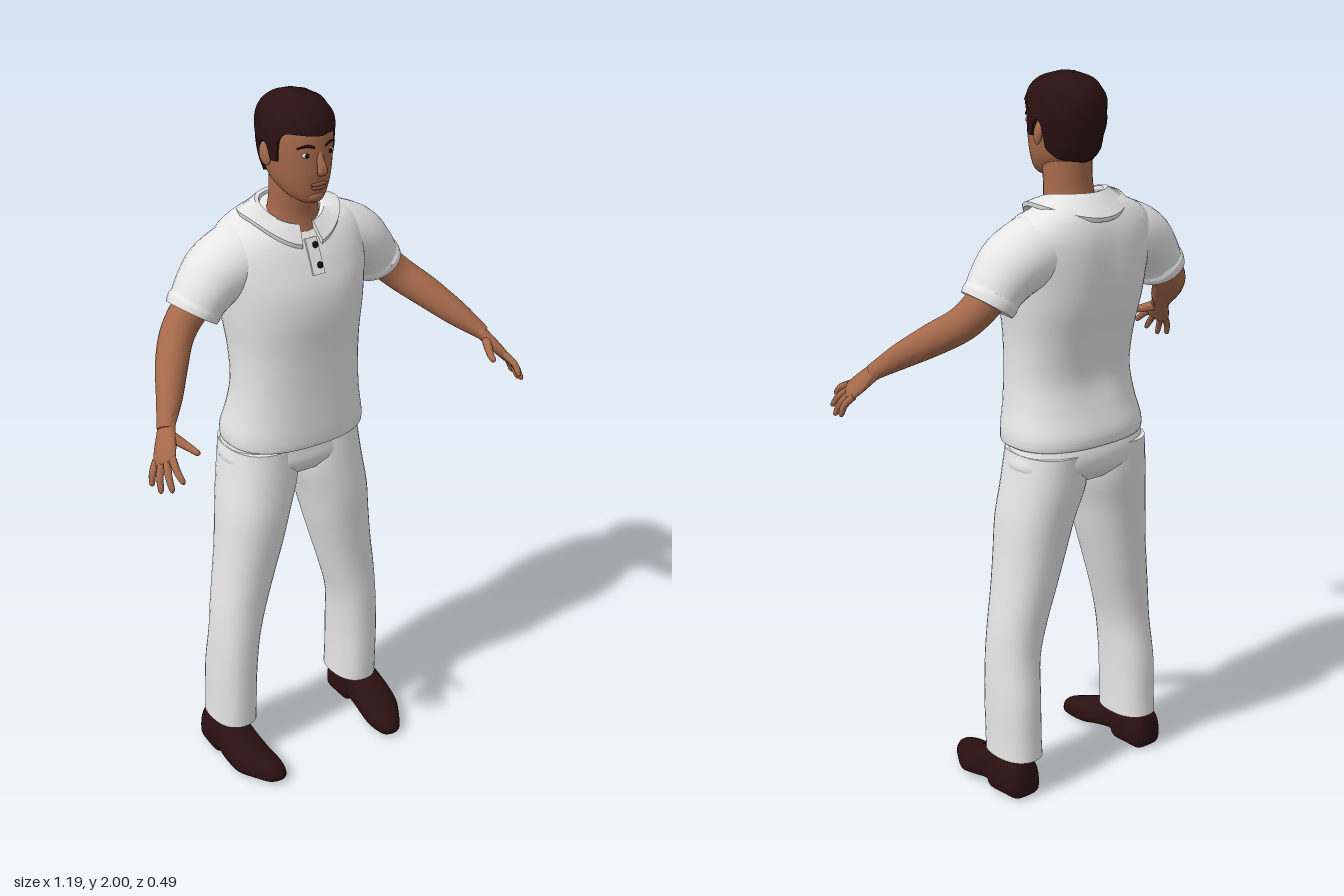
import * as THREE from 'three';
import { toCreasedNormals } from 'three/addons/utils/BufferGeometryUtils.js';

const V = (x, y, z) => new THREE.Vector3(x, y, z);
const mat = (name, color) => Object.assign(new THREE.MeshStandardMaterial({ color }), { name });

// Catmull-Rom smoothing of a table of section rows
function smooth(rows, n = 4) {
  const out = [], last = rows.length - 1;
  for (let i = 0; i < last; i++) {
    const [a, b, c, d] = [i - 1, i, i + 1, i + 2].map(k => rows[Math.min(last, Math.max(0, k))]);
    for (let j = 0; j < n; j++) {
      const t = j / n;
      out.push(b.map((v, k) => {
        const cubic = 3 * (v - c[k]) + d[k] - a[k];
        const square = 2 * a[k] - 5 * v + 4 * c[k] - d[k];
        return v + 0.5 * t * (c[k] - a[k] + t * (square + t * cubic));
      }));
    }
  }
  out.push(rows[last].slice());
  return out;
}

// Skin over closed rings of points, capped at both ends and always facing outwards
function loft(rings, crease = 1) {
  const n = rings[0].length, pts = rings.flat(), idx = [];
  for (let i = 0; i < rings.length - 1; i++) for (let j = 0; j < n; j++) {
    const a = i * n + j, b = i * n + (j + 1) % n;
    idx.push(a, b, a + n, b, b + n, a + n);
  }
  [0, rings.length - 1].forEach((r, end) => {
    const c = V(0, 0, 0);
    rings[r].forEach(p => c.addScaledVector(p, 1 / n));
    pts.push(c);
    for (let j = 0; j < n; j++) {
      const a = r * n + j, b = r * n + (j + 1) % n;
      idx.push(...(end ? [a, b, pts.length - 1] : [b, a, pts.length - 1]));
    }
  });
  let volume = 0;
  const cr = V(0, 0, 0);
  for (let i = 0; i < idx.length; i += 3) volume += pts[idx[i]].dot(cr.crossVectors(pts[idx[i + 1]], pts[idx[i + 2]]));
  if (volume < 0) idx.reverse();
  const g = new THREE.BufferGeometry().setFromPoints(pts);
  g.setIndex(idx);
  return toCreasedNormals(g, crease);
}

const sp = (v, e) => Math.sign(v) * Math.abs(v) ** (2 / e);
const around = (n, f) => Array.from({ length: n }, (_, j) => f(j / n * Math.PI * 2));

// Horizontal rings from rows [y, centre x, half width, front z, back z]; angle 0 is the front
const stack = (rows, e = 2.2, n = 36, s = 1) => smooth(rows).map(([y, cx, rx, zf, zb]) =>
  around(n, a => V(s * (cx + rx * sp(Math.sin(a), e)), y, (zf + zb) / 2 + (zf - zb) / 2 * sp(Math.cos(a), e))));

// Limb along rows [x, y, z, radius along the hint, radius across it]
function limb(rows, hint, s, n = 20, steps = 4) {
  const r = smooth(rows, steps), P = r.map(q => V(q[0], q[1], q[2]));
  return loft(r.map((q, i) => {
    const t = P[Math.min(i + 1, P.length - 1)].clone().sub(P[Math.max(i - 1, 0)]).normalize();
    const u = hint.clone().addScaledVector(t, -hint.dot(t)).normalize();
    const v = t.clone().cross(u);
    return around(n, a => {
      const p = P[i].clone().addScaledVector(u, q[3] * Math.cos(a)).addScaledVector(v, q[4] * Math.sin(a));
      p.x *= s;
      return p;
    });
  }));
}

const lerpTable = (table, x) => {
  let i = 1;
  while (i < table.length - 1 && table[i][0] < x) i++;
  const a = table[i - 1], b = table[i], t = Math.min(1, Math.max(0, (x - a[0]) / (b[0] - a[0])));
  return a.map((v, k) => v + (b[k] - v) * t);
};

export function createModel() {
  const model = new THREE.Group();
  model.name = 'standingMan';
  const cloth = mat('white cloth', 0xe6e6e6), skin = mat('skin', 0xa5694a), dark = mat('dark brown', 0x2a1011);
  const lipCol = mat('lips', 0x8a4f3c), eyeWhite = mat('eye white', 0xd9d5d0), black = mat('black', 0x0c0a0a);
  const add = (name, geo, m) => {
    const mesh = new THREE.Mesh(geo, m);
    mesh.name = name;
    model.add(mesh);
    return mesh;
  };
  const blob = (name, m, x, y, z, rx, ry, rz) => {
    const b = add(name, new THREE.SphereGeometry(1, 18, 12), m);
    b.position.set(x, y, z);
    b.scale.set(rx, ry, rz);
    return b;
  };

  // Shirt body: rows [y, half width, front z, back z, drop at the front neckline]
  const shirt = smooth([[1.015, .203, .048, -.23, 0], [1.022, .208, .053, -.237, 0], [1.055, .207, .055, -.236, 0],
    [1.12, .194, .054, -.215, 0], [1.2, .186, .054, -.2, 0], [1.3, .188, .058, -.215, 0], [1.4, .2, .066, -.241, 0],
    [1.48, .21, .06, -.25, 0], [1.55, .222, .036, -.248, 0], [1.6, .22, .012, -.24, 0], [1.64, .19, -.008, -.225, .01],
    [1.67, .14, -.022, -.205, .03], [1.692, .085, -.03, -.175, .045]], 5);
  add('shirtBody', loft(shirt.map(([y, rx, zf, zb, drop]) => around(48, a => {
    const x = rx * sp(Math.sin(a), 2.4), c = Math.cos(a);
    const groove = c < 0 && y > 1.1 && y < 1.66 ? .014 * Math.sin((y - 1.1) / .56 * Math.PI) * Math.exp(-((x / .05) ** 2)) : 0;
    return V(x, y - drop * ((1 + c) / 2) ** 2, (zf + zb) / 2 + (zf - zb) / 2 * sp(c, 2.4) + groove);
  }))), cloth);

  // Folded collar, open at the front
  const collar = [];
  for (let i = 0; i <= 40; i++) {
    const a = .22 + i / 40 * (Math.PI * 2 - .44), c = Math.cos(a), sn = Math.sin(a), k = ((1 + c) / 2) ** 2;
    const top = 1.71 - .012 * (1 - c) / 2 - .06 * k;
    const low = c > 0 ? 1.675 - .075 * c * c : 1.675 - .035 * c * c;
    const rIn = c > 0 ? .068 : .082, rOut = c > 0 ? .112 : .146;
    const at = (rx, rz, y) => V(rx * sn, y, -.09 + rz * c);
    collar.push([at(.08, rIn - .006, top - .025), at(.084, rIn, top), at(.095, rIn + .012, top + .003),
      at(.142, rOut, low + .004), at(.14, rOut - .003, low - .008), at(.09, rIn + .004, top - .03)]);
  }
  add('collar', loft(collar, .7), cloth);

  // Button placket and buttons
  const placket = add('placket', new THREE.BoxGeometry(.036, .1, .008), cloth);
  placket.position.set(0, 1.572, .026);
  placket.rotation.x = -.44;
  [[1.6, .018], [1.55, .041]].forEach(([y, z]) => {
    blob('button', black, .008, y, z, .009, .009, .005).rotation.x = -.44;
  });

  // Trouser seat
  add('trouserSeat', loft(stack([[1.06, 0, .185, .02, -.21], [1.0, 0, .202, .012, -.235], [.95, 0, .207, .014, -.23],
    [.91, 0, .13, -.01, -.195]], 2.4)), cloth);

  // Head: rows [y, half width, front z, back z]
  const headRows = smooth([[1.725, .028, .03, -.03], [1.74, .05, .04, -.075], [1.77, .07, .046, -.13], [1.8, .08, .05, -.155],
    [1.84, .086, .052, -.168], [1.88, .09, .053, -.176], [1.92, .088, .05, -.178], [1.955, .077, .033, -.165],
    [1.98, .052, -.002, -.132], [1.992, .015, -.05, -.09]]);
  const headPoint = (y, a, off = 0) => {
    const [, rx, zf, zb] = lerpTable(headRows, y);
    return V((rx + off) * Math.sin(a), y, (zf + zb) / 2 + ((zf - zb) / 2 + off) * Math.cos(a));
  };
  add('head', loft(headRows.map(r => around(36, a => headPoint(r[0], a)))), skin);
  add('neck', loft(stack([[1.6, 0, .085, 0, -.17], [1.66, 0, .074, -.014, -.148], [1.71, 0, .068, -.012, -.138],
    [1.79, 0, .066, 0, -.138]], 2, 28)), skin);

  // Hair cap with hairline, sideburns and nape: [angle from the front, lowest y]
  const hairline = [[0, 1.915], [.9, 1.922], [1.12, 1.905], [1.22, 1.84], [1.42, 1.84], [1.5, 1.885], [1.72, 1.885],
    [1.84, 1.81], [2.2, 1.785], [3.15, 1.772]];
  const hairRings = [];
  for (let i = -1; i <= 16; i++) {
    const rise = Math.max(i, 0) / 16;
    hairRings.push(around(72, a => {
      const low = lerpTable(hairline, Math.min(a, Math.PI * 2 - a))[1];
      const y = low + (1.992 - low) * Math.sin(rise * Math.PI / 2);
      const p = headPoint(y, a, i < 0 ? -.008 : .009 + .0015 * Math.sin(a * 9 + y * 90));
      p.y += .008 * rise;
      return p;
    }));
  }
  add('hair', loft(hairRings), dark);

  // Nose, mouth and chin
  add('nose', limb([[0, 1.872, .044, .008, .008], [0, 1.845, .055, .01, .01], [0, 1.822, .063, .014, .012],
    [0, 1.812, .056, .012, .008]], V(1, 0, 0), 1, 14), skin);
  blob('noseTip', skin, 0, 1.822, .064, .012, .01, .011);
  blob('upperLip', lipCol, 0, 1.781, .047, .026, .0055, .008);
  blob('lowerLip', lipCol, 0, 1.771, .045, .022, .006, .009);
  blob('chin', skin, 0, 1.745, .03, .026, .018, .016);

  for (const s of [1, -1]) {
    const side = s > 0 ? 'left' : 'right';
    // Face details
    blob(side + 'Eye', eyeWhite, s * .036, 1.864, .041, .014, .007, .006);
    blob(side + 'Pupil', black, s * .036, 1.864, .045, .006, .0062, .004);
    add(side + 'Brow', limb([[.016, 1.883, .05, .003, .003], [.036, 1.89, .046, .004, .003], [.058, 1.882, .03, .002, .002]],
      V(0, 1, 0), s, 8), dark);
    const ear = blob(side + 'Ear', skin, s * .093, 1.85, -.064, .01, .032, .019);
    ear.rotation.set(-.2, s * -.3, 0);

    // Short sleeve with cuff
    add(side + 'Sleeve', limb([[.12, 1.56, -.115, .1, .095], [.16, 1.552, -.115, .103, .097], [.22, 1.528, -.113, .097, .09],
      [.263, 1.488, -.11, .087, .079], [.285, 1.459, -.109, .081, .072], [.292, 1.45, -.109, .083, .074],
      [.302, 1.435, -.108, .08, .071]], V(0, 0, 1), s, 28), cloth);

    // Bare arm
    add(side + 'Arm', limb([[.27, 1.48, -.11, .052, .05], [.32, 1.434, -.105, .05, .049], [.365, 1.39, -.083, .046, .047],
      [.415, 1.345, -.025, .043, .044], [.465, 1.295, .045, .034, .036], [.505, 1.255, .095, .026, .024],
      [.515, 1.243, .108, .025, .02]], V(0, 0, 1), s, 24), skin);

    // Hand: palm, four fingers and thumb
    const across = V(-.4, .35, .85).normalize();
    add(side + 'Palm', limb([[.5, 1.26, .09, .022, .02], [.518, 1.236, .115, .029, .017], [.538, 1.207, .142, .035, .015],
      [.552, 1.186, .162, .034, .012], [.556, 1.18, .168, .027, .008]], across, s, 20), skin);
    [[.545, 1.157, .245], [.569, 1.132, .228], [.584, 1.118, .194], [.59, 1.125, .158]].forEach((tip, i) => {
      const base = V(.55, 1.189, .158).addScaledVector(across, .027 - .018 * i);
      const end = V(...tip), bend = base.clone().lerp(end, .5).add(V(.005, .004, .002));
      const row = (p, r) => [p.x, p.y, p.z, r, r];
      add(side + 'Finger', limb([row(base, .0105), row(bend, .0095), row(base.clone().lerp(end, .9), .0075), row(end, .003)],
        across, s, 10, 3), skin);
    });
    add(side + 'Thumb', limb([[.52, 1.24, .115, .015, .014], [.504, 1.227, .145, .014, .013], [.488, 1.215, .178, .0105, .01],
      [.479, 1.208, .204, .008, .008], [.477, 1.206, .211, .003, .003]], V(0, 1, 0), s, 12, 3), skin);

    // Trouser leg
    add(side + 'TrouserLeg', loft(stack([[1.0, .103, .1, .01, -.228], [.9, .109, .109, .016, -.22], [.8, .131, .102, .019, -.203],
      [.7, .148, .093, .013, -.19], [.6, .168, .084, .005, -.18], [.5, .189, .076, 0, -.17], [.4, .205, .067, 0, -.168],
      [.28, .213, .065, -.002, -.183], [.17, .214, .064, -.005, -.187], [.112, .214, .065, -.008, -.19]], 2.3, 32, s)), cloth);

    // Shoe: rows [z, centre x, half width, bottom y, top y]
    const shoe = smooth([[-.185, .23, .03, .015, .08], [-.17, .23, .046, 0, .115], [-.12, .232, .053, 0, .125],
      [-.075, .233, .054, 0, .13], [-.06, .233, .055, .02, .13], [-.01, .234, .06, .016, .1], [.05, .228, .06, .004, .074],
      [.1, .214, .048, .004, .06], [.14, .205, .031, .006, .047], [.155, .202, .012, .012, .034]]);
    add(side + 'Shoe', loft(shoe.map(([z, cx, w, y0, y1]) => around(28, a => {
      const up = Math.sin(a), e = up < 0 ? 4 : 2.2;
      return V(s * (cx + w * sp(Math.cos(a), e)), y0 + (y1 - y0) * (.35 + (up < 0 ? .35 : .65) * sp(up, e)), z);
    })), .8), dark);
  }
  return model;
}
